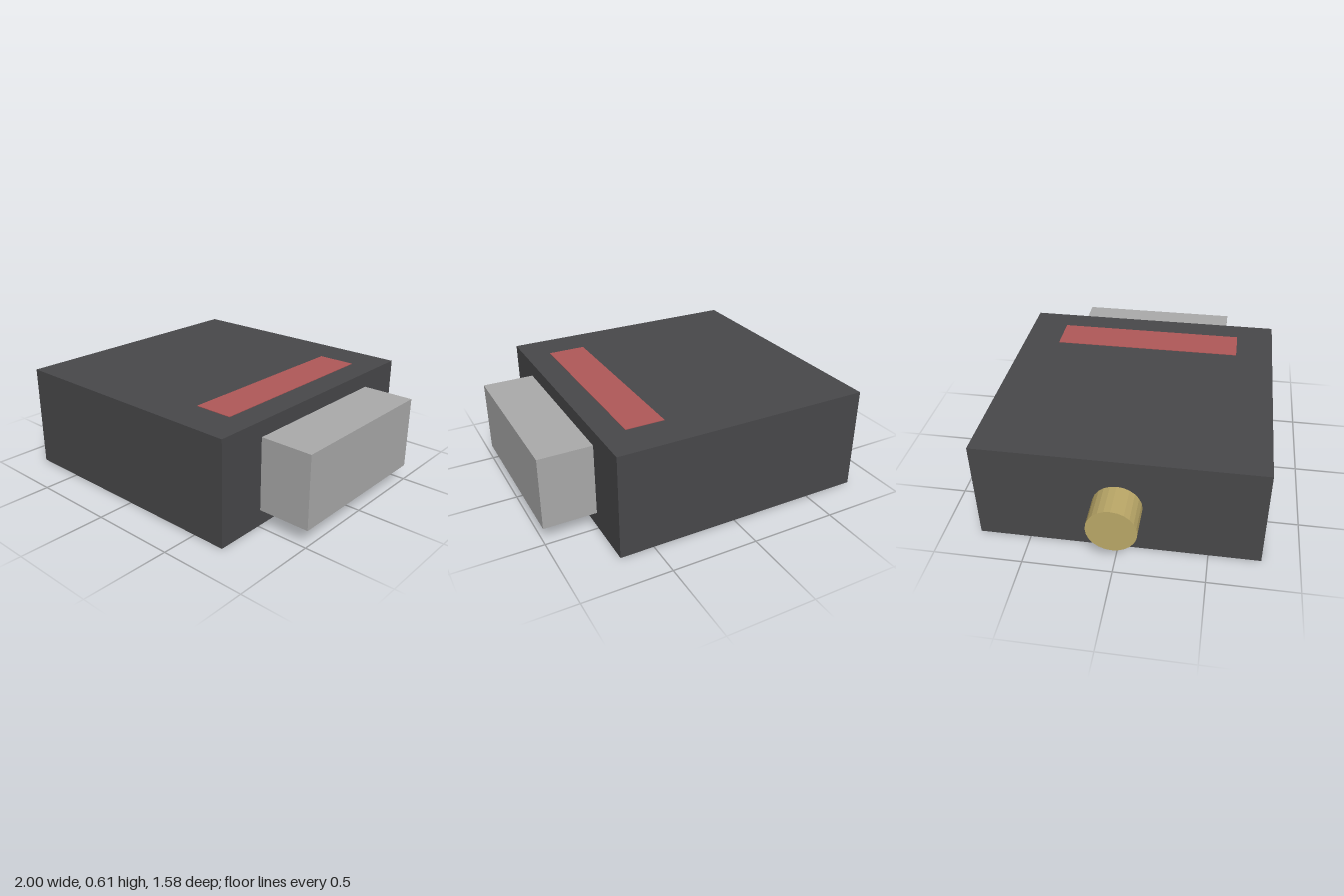
import * as THREE from 'three';

const material = (color, flatShading = false) => new THREE.MeshStandardMaterial({ color, flatShading });

// Box given by its [min, max] extent on each axis
function box(name, [x0, x1], [y0, y1], [z0, z1], mat) {
  const mesh = new THREE.Mesh(new THREE.BoxGeometry(x1 - x0, y1 - y0, z1 - z0), mat);
  mesh.position.set((x0 + x1) / 2, (y0 + y1) / 2, (z0 + z1) / 2);
  mesh.name = name;
  return mesh;
}

export function createModel() {
  const model = new THREE.Group();
  model.name = 'adapterBox';

  const dark = material(0x48484a);
  const grey = material(0xaaaaaa);
  const red = material(0xb05858);
  const brass = material(0xbba868, true);

  // Main housing
  model.add(box('housing', [-0.81, 0.695], [0.003, 0.607], [-0.79, 0.79], dark));

  // Rectangular plug on the left side
  model.add(box('plug', [0.695, 1], [0.095, 0.517], [-0.49, 0.49], grey));

  // Thin label strips on the top and underside
  model.add(box('topStrip', [0.32, 0.545], [0.6, 0.61], [-0.567, 0.567], red));
  model.add(box('bottomStrip', [0.32, 0.545], [0, 0.01], [-0.567, 0.567], red));

  // Round brass connector on the right side
  const connector = new THREE.Mesh(new THREE.CylinderGeometry(0.137, 0.137, 0.2, 24), brass);
  connector.rotation.z = Math.PI / 2;
  connector.position.set(-0.9, 0.305, 0);
  connector.name = 'roundConnector';
  model.add(connector);

  return model;
}
